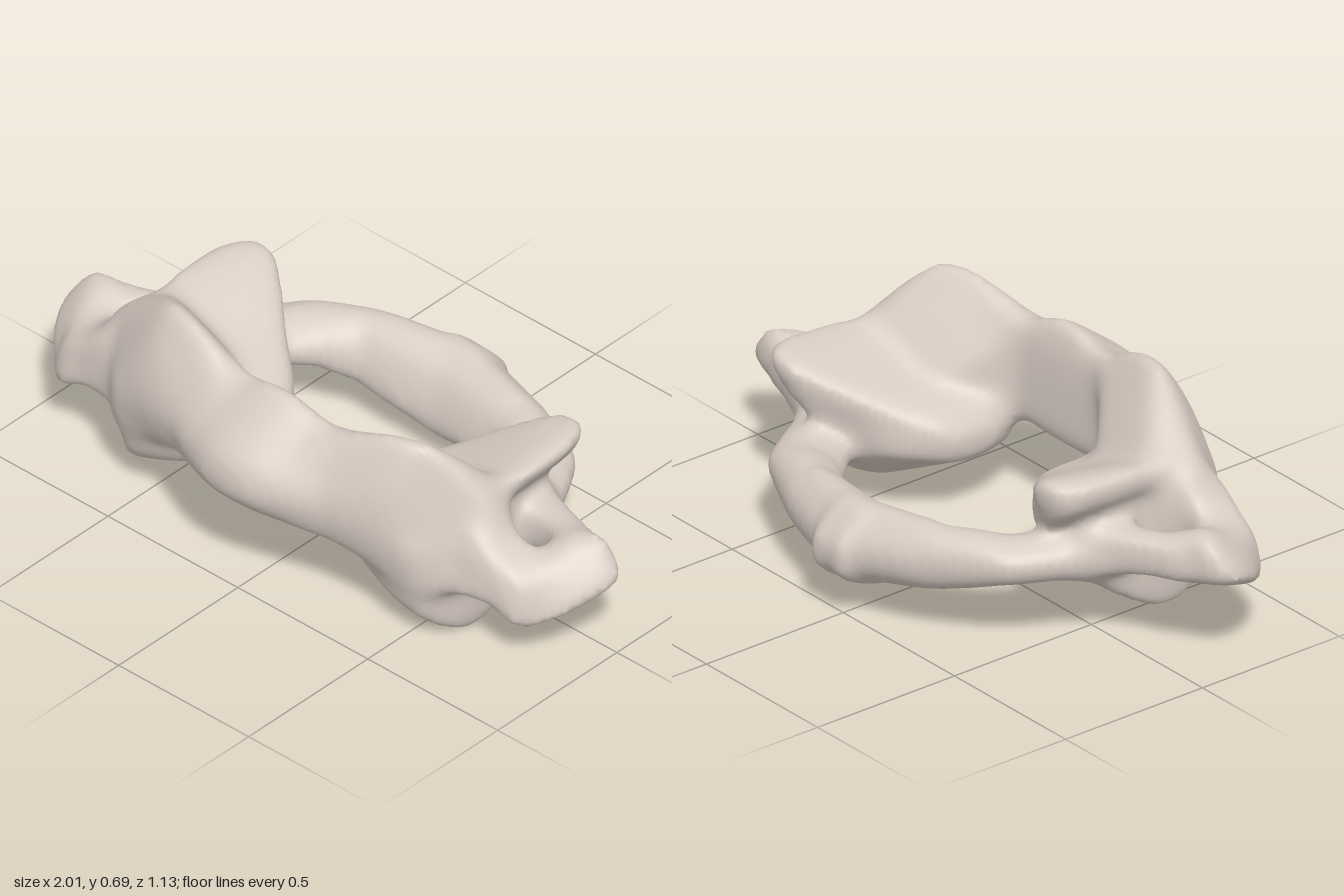
import * as THREE from 'three';
import { mergeVertices } from 'three/addons/utils/BufferGeometryUtils.js';
import { ConvexGeometry } from 'three/addons/geometries/ConvexGeometry.js';

const STEP = 0.018, MIN = [-1.12, -0.1, -0.68], SIZE = [125, 50, 75];
const EDGE = 0.012, BLEND = 0.05; // edge rounding and width of the fillets between parts

// Front arch with its middle bump
const FRONT_ARCH = [];
for (const s of [-1, 1]) {
  FRONT_ARCH.push([s * 0.05 + 0.03, 0.665, 0.35], [s * 0.05 + 0.02, 0.61, 0.43], [s * 0.07, 0.5, 0.56],
    [s * 0.08, 0.38, 0.578], [s * 0.09, 0.28, 0.48], [s * 0.09, 0.26, 0.33], [s * 0.24, 0.57, 0.31],
    [s * 0.24, 0.55, 0.4], [s * 0.24, 0.43, 0.5], [s * 0.24, 0.29, 0.45], [s * 0.24, 0.29, 0.3]);
}

// Hull corners of the parts on the +x side
const SIDE = {
  Shoulder: [[0.45, 0.695, 0.32], [0.53, 0.695, 0.3], [0.2, 0.59, 0.33], [0.2, 0.56, 0.42], [0.2, 0.4, 0.5],
    [0.2, 0.29, 0.45], [0.2, 0.3, 0.3], [0.24, 0.42, 0.27], [0.48, 0.57, 0.39], [0.55, 0.35, 0.4], [0.6, 0.18, 0.35],
    [0.73, 0.45, 0.19], [0.61, 0.58, 0.26], [0.7, 0.24, 0.27], [0.62, 0.51, 0.1], [0.35, 0.4, 0.12], [0.4, 0.2, 0.1],
    [0.68, 0.36, 0.08], [0.67, 0.22, 0.08]],
  UpperFacet: [[0.67, 0.5, 0.14], [0.71, 0.515, 0], [0.71, 0.525, -0.15], [0.64, 0.525, -0.265], [0.57, 0.525, -0.28],
    [0.44, 0.46, -0.2], [0.33, 0.38, -0.08], [0.19, 0.31, 0.04], [0.18, 0.3, 0.24], [0.64, 0.42, -0.24],
    [0.66, 0.42, 0.1], [0.67, 0.43, -0.12], [0.5, 0.3, -0.21], [0.35, 0.27, -0.08], [0.2, 0.22, 0.06], [0.2, 0.22, 0.25]],
  LowerFacet: [[0.61, -0.01, 0.25], [0.62, -0.02, 0.12], [0.62, 0.035, 0.02], [0.6, 0.17, -0.12], [0.57, 0.08, 0.35],
    [0.45, 0.12, 0.37], [0.23, 0.2, 0.33], [0.2, 0.2, 0.12], [0.26, 0.24, -0.04], [0.4, 0.2, -0.11], [0.65, 0.35, 0.2],
    [0.6, 0.4, -0.12], [0.24, 0.35, 0.05], [0.24, 0.35, 0.3], [0.55, 0.35, 0.39], [0.4, 0.33, -0.1], [0.66, 0.2, 0.2]],
  FrontBar: [[0.66, 0.44, 0.15], [0.64, 0.22, 0.15], [0.68, 0.42, 0.29], [0.66, 0.21, 0.31],
    [0.86, 0.31, 0.09], [0.86, 0.2, 0.09], [0.86, 0.29, 0.25], [0.86, 0.17, 0.27]],
  RearBar: [[0.6, 0.34, -0.03], [0.6, 0.2, -0.03], [0.6, 0.34, -0.14], [0.6, 0.19, -0.14],
    [0.86, 0.36, 0.06], [0.86, 0.23, 0.07], [0.86, 0.35, -0.05], [0.86, 0.24, -0.05]],
  WingTip: [[0.89, 0.4, 0.01], [0.95, 0.4, -0.03], [1.025, 0.26, -0.01], [1.025, 0.25, 0.07], [0.87, 0.13, 0.26],
    [0.8, 0.2, 0.28], [0.95, 0.17, 0.2], [0.84, 0.31, 0.22], [0.82, 0.35, 0], [0.83, 0.24, -0.05],
    [0.77, 0.2, 0.13], [0.77, 0.31, 0.08], [0.95, 0.24, -0.04]],
};

// Cross-sections of the rear arch, from the side mass to just past the middle
const REAR_SECTIONS = [
  [[0.69, 0.25, -0.02], [0.55, 0.25, 0], [0.63, 0.33, -0.01], [0.63, 0.18, -0.01]],
  [[0.62, 0.27, -0.2], [0.61, 0.2, -0.2], [0.42, 0.25, -0.11], [0.42, 0.2, -0.12], [0.54, 0.31, -0.17], [0.54, 0.16, -0.16]],
  [[0.53, 0.27, -0.355], [0.52, 0.19, -0.355], [0.33, 0.24, -0.21], [0.34, 0.17, -0.21], [0.43, 0.31, -0.3],
    [0.38, 0.29, -0.24], [0.42, 0.14, -0.28]],
  [[0.27, 0.26, -0.475], [0.26, 0.18, -0.475], [0.25, 0.2, -0.27], [0.25, 0.14, -0.27], [0.27, 0.345, -0.39],
    [0.26, 0.3, -0.31], [0.26, 0.1, -0.34], [0.27, 0.13, -0.43]],
  [[-0.04, 0.26, -0.575], [-0.04, 0.17, -0.575], [-0.04, 0.19, -0.29], [-0.04, 0.12, -0.285], [-0.04, 0.37, -0.46],
    [-0.04, 0.32, -0.35], [-0.04, 0.075, -0.34], [-0.04, 0.105, -0.49]],
];

// The -x side sits slightly higher and further forward
const mirror = ([x, y, z]) =>
  [-x + 0.5 * Math.max(0, y - 0.45), y + 0.05 * Math.min(1, x / 0.4) - 0.06 * Math.max(0, y - 0.45), z + 0.1 * x * x];

// Two neighbouring sections, each pushed outwards so that the segments overlap
function segment(a, b) {
  const mean = s => s.reduce((m, p) => m.map((v, i) => v + p[i] / s.length), [0, 0, 0]);
  const ca = mean(a), cb = mean(b);
  const push = (s, t) => s.map(p => p.map((v, i) => v + t * (cb[i] - ca[i])));
  return [...push(a, -0.1), ...push(b, 0.1)];
}

// Rounded convex solid as a signed distance rule
function hullDistance(points) {
  const p = new ConvexGeometry(points.map(q => new THREE.Vector3(...q))).getAttribute('position');
  const box = new THREE.Box3().setFromBufferAttribute(p).expandByScalar(0.12);
  const planes = new Map(), tri = new THREE.Triangle(), n = new THREE.Vector3();
  for (let i = 0; i < p.count; i += 3) {
    tri.setFromAttributeAndIndices(p, i, i + 1, i + 2);
    if (tri.getArea() < 1e-7) continue;
    tri.getNormal(n);
    const plane = [n.x, n.y, n.z, n.dot(tri.a)];
    planes.set(plane.map(v => v.toFixed(2)).join(), plane);
  }
  const list = [...planes.values()], d = new Float64Array(list.length);
  return (x, y, z) => {
    if (x < box.min.x || x > box.max.x || y < box.min.y || y > box.max.y || z < box.min.z || z > box.max.z) return 1;
    let max = -9, sum = 0;
    for (let i = 0; i < d.length; i++) {
      const q = list[i];
      d[i] = q[0] * x + q[1] * y + q[2] * z - q[3];
      if (d[i] > max) max = d[i];
    }
    if (max > 0.1) return max;
    for (let i = 0; i < d.length; i++) sum += Math.exp((d[i] - max) / EDGE);
    return max + EDGE * (Math.log(sum) - 0.5);
  };
}

function buildParts() {
  const parts = [{ name: 'frontArch', distance: hullDistance(FRONT_ARCH) }];
  const rear = [];
  for (const [side, place] of [['left', q => q], ['right', mirror]]) {
    for (const [name, points] of Object.entries(SIDE))
      parts.push({ name: side + name, distance: hullDistance(points.map(place)) });
    const sections = REAR_SECTIONS.map(s => s.map(place));
    for (let i = 0; i + 1 < sections.length; i++) rear.push(hullDistance(segment(sections[i], sections[i + 1])));
  }
  parts.push({ name: 'rearArch', distance: (x, y, z) => rear.reduce((f, g) => Math.min(f, g(x, y, z)), 1) });
  return parts;
}

// One continuous skin over the blended parts
function buildSkin(parts) {
  const [nx, ny, nz] = SIZE, stride = [1, nx, nx * ny];
  const field = new Float32Array(nx * ny * nz), cell = new Int32Array(nx * ny * nz).fill(-1);
  const at = (i, j, k) => i + nx * (j + ny * k);
  for (let k = 0; k < nz; k++) for (let j = 0; j < ny; j++) for (let i = 0; i < nx; i++) {
    let f = 1;
    for (const part of parts) {
      const g = part.distance(MIN[0] + i * STEP, MIN[1] + j * STEP, MIN[2] + k * STEP);
      const h = Math.max(BLEND - Math.abs(f - g), 0) / BLEND;
      f = Math.min(f, g) - (f < 1 ? h * h * BLEND / 4 : 0);
    }
    field[at(i, j, k)] = f;
  }
  // one vertex in each cell that the surface crosses
  const verts = [];
  for (let k = 0; k < nz - 1; k++) for (let j = 0; j < ny - 1; j++) for (let i = 0; i < nx - 1; i++) {
    const base = at(i, j, k), sum = [0, 0, 0];
    let count = 0;
    for (let c = 0; c < 8; c++) for (let a = 0; a < 3; a++) {
      if (c >> a & 1) continue;
      const o = [c & 1, c >> 1 & 1, c >> 2 & 1];
      const s = base + o[0] + o[1] * stride[1] + o[2] * stride[2];
      const f0 = field[s], f1 = field[s + stride[a]];
      if (f0 < 0 === f1 < 0) continue;
      o[a] += f0 / (f0 - f1);
      for (let m = 0; m < 3; m++) sum[m] += o[m];
      count++;
    }
    if (!count) continue;
    cell[base] = verts.length;
    verts.push([i, j, k].map((v, m) => MIN[m] + (v + sum[m] / count) * STEP));
  }
  // one quad around each crossed grid edge
  const quads = [];
  for (let k = 1; k < nz - 1; k++) for (let j = 1; j < ny - 1; j++) for (let i = 1; i < nx - 1; i++) {
    const b = at(i, j, k);
    for (let a = 0; a < 3; a++) {
      if (field[b] < 0 === field[b + stride[a]] < 0) continue;
      const u = stride[(a + 1) % 3], v = stride[(a + 2) % 3];
      const q = [b - u - v, b - v, b, b - u].map(c => cell[c]);
      quads.push(field[b] < 0 ? q : q.reverse());
    }
  }
  return { verts, quads };
}

// Soften the skin by averaging neighbours
function relax(verts, quads, passes) {
  for (let pass = 0; pass < passes; pass++) {
    const sums = verts.map(() => [0, 0, 0, 0]);
    for (const q of quads) q.forEach((a, i) => {
      const s = sums[a], v = verts[q[(i + 1) % 4]];
      s[0] += v[0]; s[1] += v[1]; s[2] += v[2]; s[3]++;
    });
    verts.forEach((v, i) => { for (let m = 0; m < 3; m++) v[m] = (v[m] + sums[i][m] / sums[i][3]) / 2; });
  }
}

export function createModel() {
  const group = new THREE.Group();
  group.name = 'neckBone';
  const bone = new THREE.MeshStandardMaterial({ color: 0xd9cdc4 });
  bone.name = 'bone';
  const parts = buildParts();
  const { verts, quads } = buildSkin(parts);
  relax(verts, quads, 8);

  // share the skin out among the nearest parts
  const indices = {};
  for (const [a, b, c, d] of quads) {
    const near = parts.map(part => part.distance(...verts[a]));
    const { name } = parts[near.indexOf(Math.min(...near))];
    (indices[name] ??= []).push(a, b, c, a, c, d);
  }

  const skin = new THREE.BufferGeometry();
  skin.setAttribute('position', new THREE.Float32BufferAttribute(verts.flat(), 3));
  skin.setIndex(quads.flatMap(([a, b, c, d]) => [a, b, c, a, c, d]));
  skin.computeBoundingBox();
  const box = skin.boundingBox, mid = box.getCenter(new THREE.Vector3());
  skin.translate(-mid.x, -box.min.y, -mid.z);
  skin.computeVertexNormals();

  for (const [name, index] of Object.entries(indices)) {
    skin.setIndex(index);
    const mesh = new THREE.Mesh(mergeVertices(skin.toNonIndexed()), bone);
    mesh.name = name;
    group.add(mesh);
  }
  return group;
}
